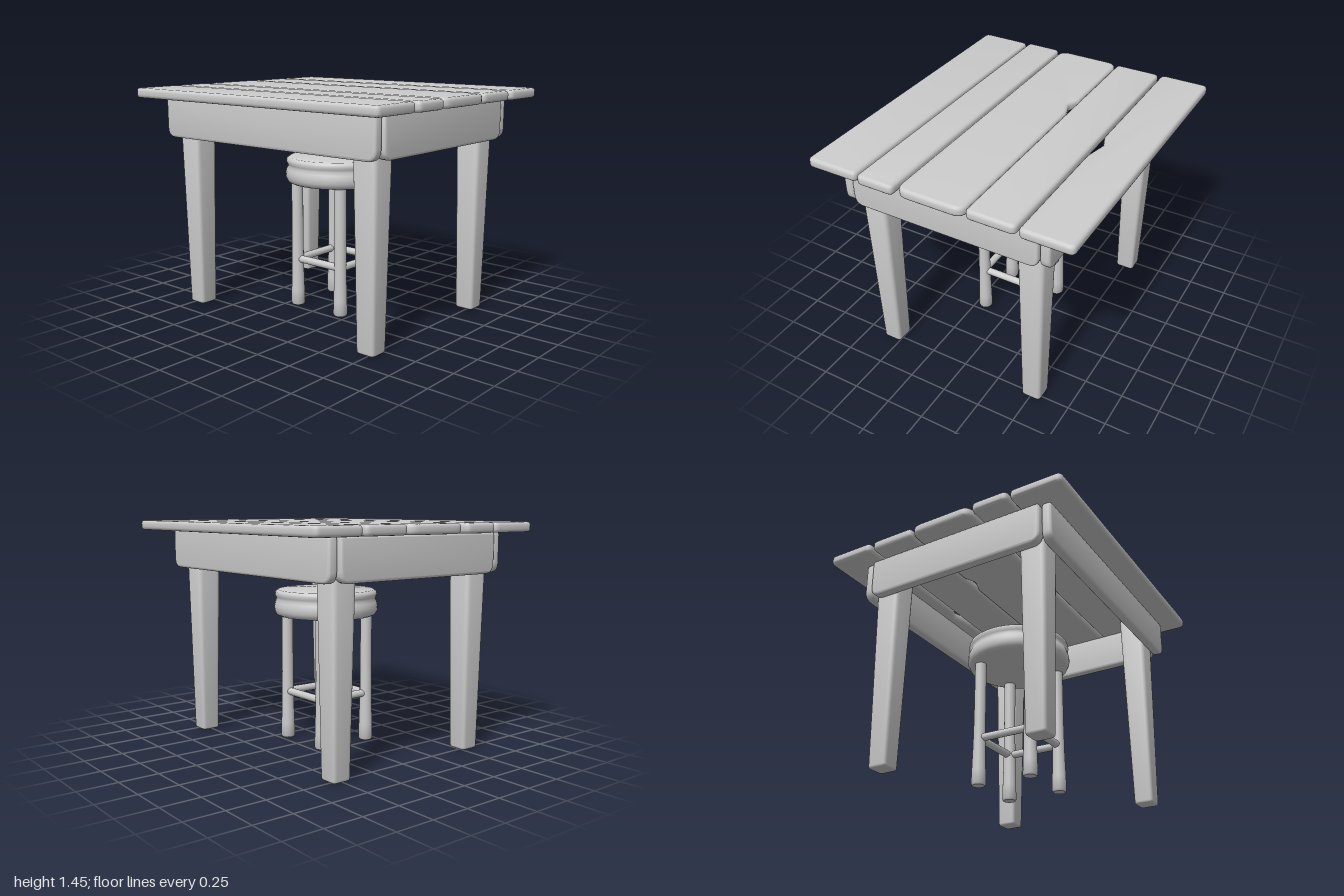
import * as THREE from 'three';
import { toCreasedNormals } from 'three/addons/utils/BufferGeometryUtils.js';

const material = new THREE.MeshStandardMaterial({ color: 0xcccccc });

function addMesh(parent, name, geometry) {
  const mesh = new THREE.Mesh(geometry, material);
  mesh.name = name;
  parent.add(mesh);
  return mesh;
}

// Closed outline from [x, y, cornerRadius] points, given counter-clockwise
function roundedShape(points) {
  const shape = new THREE.Shape();
  const n = points.length;
  points.forEach(([x, y, r], i) => {
    const corner = new THREE.Vector2(x, y);
    const toward = ([px, py]) =>
      new THREE.Vector2(px, py).sub(corner).setLength(r).add(corner);
    const a = toward(points[(i + n - 1) % n]);
    const b = toward(points[(i + 1) % n]);
    if (i === 0) shape.moveTo(a.x, a.y);
    else shape.lineTo(a.x, a.y);
    shape.quadraticCurveTo(x, y, b.x, b.y);
  });
  shape.closePath();
  return shape;
}

// Soft-edged board whose outer size matches the outline; spans z = 0..depth
function board(points, depth, bevel) {
  const geometry = new THREE.ExtrudeGeometry(roundedShape(points), {
    depth: depth - 2 * bevel,
    bevelThickness: bevel,
    bevelSize: bevel,
    bevelOffset: -bevel,
    bevelSegments: 3,
    curveSegments: 5,
  });
  geometry.translate(0, 0, bevel);
  return toCreasedNormals(geometry, 0.7);
}

// Tabletop plank; notches are extra points on the left or right edge
function addPlank(parent, { x0, x1, back, front, r, right = [], left = [] }) {
  const points = [
    [x0, -front, r], [x1, -front, r], ...right,
    [x1, -back, r], [x0, -back, r], ...left,
  ];
  const geometry = board(points, 0.063, 0.02);
  geometry.rotateX(-Math.PI / 2);
  addMesh(parent, 'plank', geometry).position.y = 1.391;
}

// Apron board with rounded lower corners, running from a to b
function apronGeometry(a, b, thickness) {
  return board(
    [[a, 1.135, 0.065], [b, 1.135, 0.065], [b, 1.392, 0.02], [a, 1.392, 0.02]],
    thickness, 0.015);
}

// Square table leg, narrowing toward the floor
function tableLegGeometry() {
  const h = 0.0875, height = 1.385;
  const geometry = board(
    [[-h, -h, 0.035], [h, -h, 0.035], [h, h, 0.035], [-h, h, 0.035]],
    height, 0.015);
  geometry.rotateX(-Math.PI / 2);
  const p = geometry.attributes.position;
  for (let i = 0; i < p.count; i++) {
    const s = 0.73 + 0.27 * Math.min(1, p.getY(i) / 1.15);
    p.setX(i, p.getX(i) * s);
    p.setZ(i, p.getZ(i) * s);
  }
  return toCreasedNormals(geometry, 0.7);
}

function lathe(points, segments) {
  const profile = points.map(([r, y]) => new THREE.Vector2(r, y));
  return toCreasedNormals(new THREE.LatheGeometry(profile, segments), 0.8);
}

function createTable() {
  const table = new THREE.Group();
  table.name = 'table';

  // Five uneven planks, two of them chipped
  [
    { x0: -0.85, x1: -0.51, back: -0.99, front: 0.985, r: 0.035 },
    { x0: -0.498, x1: -0.253, back: -1, front: 0.995, r: 0.035 },
    { x0: -0.235, x1: 0.195, back: -0.995, front: 0.985, r: 0.07,
      right: [[0.195, 0.22, 0.02], [0.16, 0.32, 0.02], [0.195, 0.40, 0.02]] },
    { x0: 0.201, x1: 0.506, back: -0.985, front: 0.975, r: 0.035 },
    { x0: 0.524, x1: 0.847, back: -0.99, front: 0.98, r: 0.035,
      left: [[0.524, 0.07, 0.01], [0.558, -0.02, 0.01], [0.524, -0.17, 0.01]] },
  ].forEach((plank) => addPlank(table, plank));

  // Aprons under the top
  const endApron = apronGeometry(-0.64, 0.588, 0.065);
  addMesh(table, 'frontApron', endApron).position.z = 0.81;
  addMesh(table, 'backApron', endApron).position.z = -0.873;
  const sideApron = apronGeometry(-0.863, 0.852, 0.062);
  sideApron.rotateY(Math.PI / 2);
  addMesh(table, 'leftApron', sideApron).position.x = 0.592;
  addMesh(table, 'rightApron', sideApron).position.x = -0.71;

  // Four tapered legs
  const leg = tableLegGeometry();
  for (const x of [-0.557, 0.505]) {
    for (const z of [-0.727, 0.727]) {
      addMesh(table, 'tableLeg', leg).position.set(x, 0, z);
    }
  }
  return table;
}

function createStool() {
  const stool = new THREE.Group();
  stool.name = 'stool';

  // Round seat with a groove between its two layers
  addMesh(stool, 'seat', lathe([
    [0, 0.84], [0.31, 0.84], [0.328, 0.85], [0.34, 0.875], [0.341, 0.905],
    [0.335, 0.93], [0.326, 0.95], [0.33, 0.965], [0.337, 0.98],
    [0.333, 0.998], [0.315, 1.01], [0, 1.012],
  ], 40)).position.x = 0.005;

  // Legs flaring at the feet
  const leg = lathe([
    [0, 0], [0.04, 0], [0.047, 0.012], [0.045, 0.1], [0.04, 0.27],
    [0.038, 0.45], [0.038, 0.86], [0, 0.86],
  ], 16);
  const d = 0.186;
  for (const x of [-d, d]) {
    for (const z of [-d, d]) {
      addMesh(stool, 'stoolLeg', leg).position.set(x, 0, z);
    }
  }

  // Rungs joining neighbouring legs
  const rung = new THREE.CylinderGeometry(0.025, 0.025, 2 * d, 12);
  for (const s of [-d, d]) {
    const across = addMesh(stool, 'rung', rung);
    across.rotation.z = Math.PI / 2;
    across.position.set(0, 0.317, s);
    const along = addMesh(stool, 'rung', rung);
    along.rotation.x = Math.PI / 2;
    along.position.set(s, 0.317, 0);
  }
  return stool;
}

export function createModel() {
  const model = new THREE.Group();
  model.name = 'tableAndStool';
  model.add(createTable(), createStool());
  return model;
}
